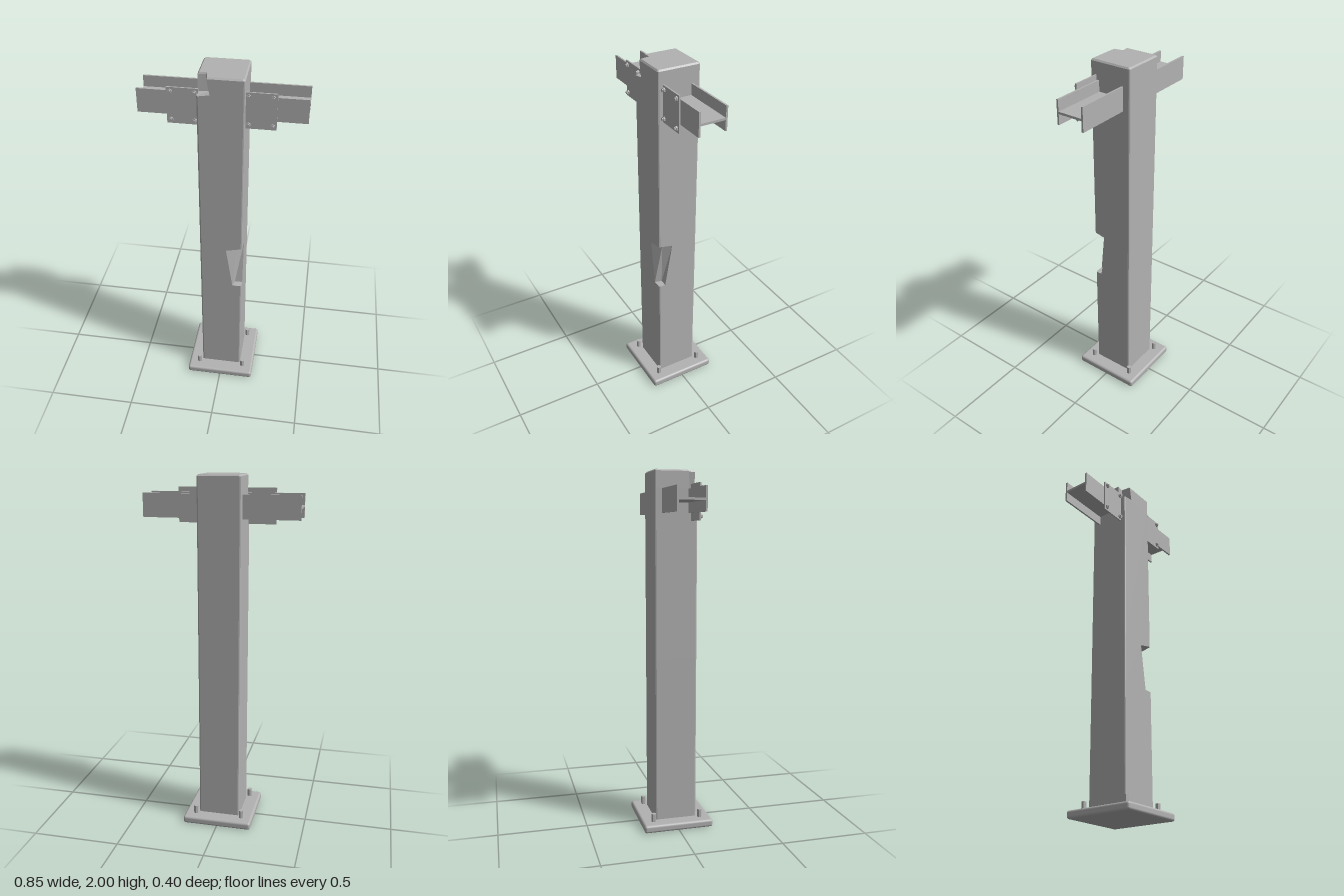
import * as THREE from 'three';
import { RoundedBoxGeometry } from 'three/addons/geometries/RoundedBoxGeometry.js';

const H = 0.119; // half width of the column
const E = 0.111; // where its rounded corners begin
const M = 0.1167;

// Corner outlines as [x, z, y offset], ordered anticlockwise from above
const FRONT_LEFT = [[E, H, 0], [M, M, 0], [H, E, 0]];
const BACK = [[H, -E, 0], [M, -M, 0], [E, -H, 0], [-E, -H, 0], [-M, -M, 0], [-H, -E, 0]];
const FRONT_RIGHT = [[-H, E, 0], [-M, M, 0], [-E, H, 0]];

// Damaged corners: a tapered gouge half way up and a chunk missing at the top
const GOUGE_LOW = [[0.066, H, 0], [0.076, 0.08, 0], [H, 0.08, 0]];
const GOUGE_HIGH = [[0.028, H, -0.005], [0.086, 0.08, -0.005], [H, 0.035, 0]];
const CHUNK_LOW = [[-H, 0.072, 0], [-0.062, 0.066, 0.002], [-0.053, H, 0.006]];
const CHUNK_HIGH = [[-H, 0.07, 0], [-0.077, 0.064, 0], [-0.068, H, 0]];

function columnGeometry() {
  const levels = [
    [0.03, FRONT_LEFT, FRONT_RIGHT],
    [0.703, FRONT_LEFT, FRONT_RIGHT],
    [0.703, GOUGE_LOW, FRONT_RIGHT],
    [0.965, GOUGE_HIGH, FRONT_RIGHT],
    [0.98, FRONT_LEFT, FRONT_RIGHT],
    [1.9, FRONT_LEFT, FRONT_RIGHT],
    [1.904, FRONT_LEFT, CHUNK_LOW],
    [1.992, FRONT_LEFT, CHUNK_HIGH],
    [2.0, FRONT_LEFT, CHUNK_HIGH, 0.94],
  ];
  const rings = levels.map(([y, left, right, scale = 1]) =>
    [...left, ...BACK, ...right].map(([x, z, dy]) => new THREE.Vector3(x * scale, y + dy, z * scale)));
  const points = [];
  const n = rings[0].length;
  for (let r = 0; r < rings.length - 1; r++) {
    for (let i = 0; i < n; i++) {
      const j = (i + 1) % n;
      const [a, b, c, d] = [rings[r][i], rings[r][j], rings[r + 1][j], rings[r + 1][i]];
      points.push(a, b, c, a, c, d);
    }
  }
  // Flat top, following the broken outline
  const top = rings[rings.length - 1];
  const outline = top.map((p) => new THREE.Vector2(p.x, -p.z));
  for (const face of THREE.ShapeUtils.triangulateShape(outline, [])) {
    points.push(...face.map((k) => top[k]));
  }
  const geometry = new THREE.BufferGeometry().setFromPoints(points);
  geometry.computeVertexNormals();
  return geometry;
}

export function createModel() {
  const model = new THREE.Group();
  model.name = 'columnWithBeams';
  const steel = new THREE.MeshStandardMaterial({ color: 0xb2b2b2 });
  steel.name = 'grey steel';

  function add(parent, name, geometry, x, y, z) {
    const mesh = new THREE.Mesh(geometry, steel);
    mesh.name = name;
    mesh.position.set(x, y, z);
    parent.add(mesh);
    return mesh;
  }
  const box = (w, h, d) => new THREE.BoxGeometry(w, h, d);
  const hex = (radius, length) => new THREE.CylinderGeometry(radius, radius, length, 6).toNonIndexed();
  const flat = (geometry) => {
    geometry.computeVertexNormals();
    return geometry;
  };

  add(model, 'column', columnGeometry(), 0, 0, 0);
  add(model, 'basePlate', new RoundedBoxGeometry(0.4, 0.044, 0.4, 3, 0.014), 0, 0.022, 0);

  // Anchor bolts in the corners of the base plate
  const anchor = flat(hex(0.0135, 0.05));
  for (const x of [-1, 1]) {
    for (const z of [-1, 1]) add(model, 'anchorBolt', anchor, x * 0.136, 0.065, z * 0.136);
  }

  // H beam stubs with bolted splice plates on both sides
  const boltHead = flat(hex(0.0125, 0.008).rotateX(Math.PI / 2));
  const boltEnd = flat(hex(0.008, 0.008).rotateX(Math.PI / 2));
  for (const side of [-1, 1]) {
    const beam = new THREE.Group();
    beam.name = side > 0 ? 'leftBeam' : 'rightBeam';
    model.add(beam);
    const x = side * 0.2705;
    add(beam, 'frontFlange', box(0.313, 0.128, 0.01), x, 1.836, 0.072);
    add(beam, 'backFlange', box(0.313, 0.128, 0.01), x, 1.836, -0.075);
    add(beam, 'web', box(0.313, 0.012, 0.14), x, 1.834, -0.0015);
    add(beam, 'splicePlate', box(0.16, 0.194, 0.008), side * 0.1935, 1.828, 0.087);
    for (const bx of [0.133, 0.253]) {
      for (const y of [1.753, 1.904]) {
        add(beam, 'boltHead', boltHead, side * bx, y, 0.095);
        add(beam, 'boltEnd', boltEnd, side * bx, y, 0.102);
      }
    }
  }
  return model;
}
